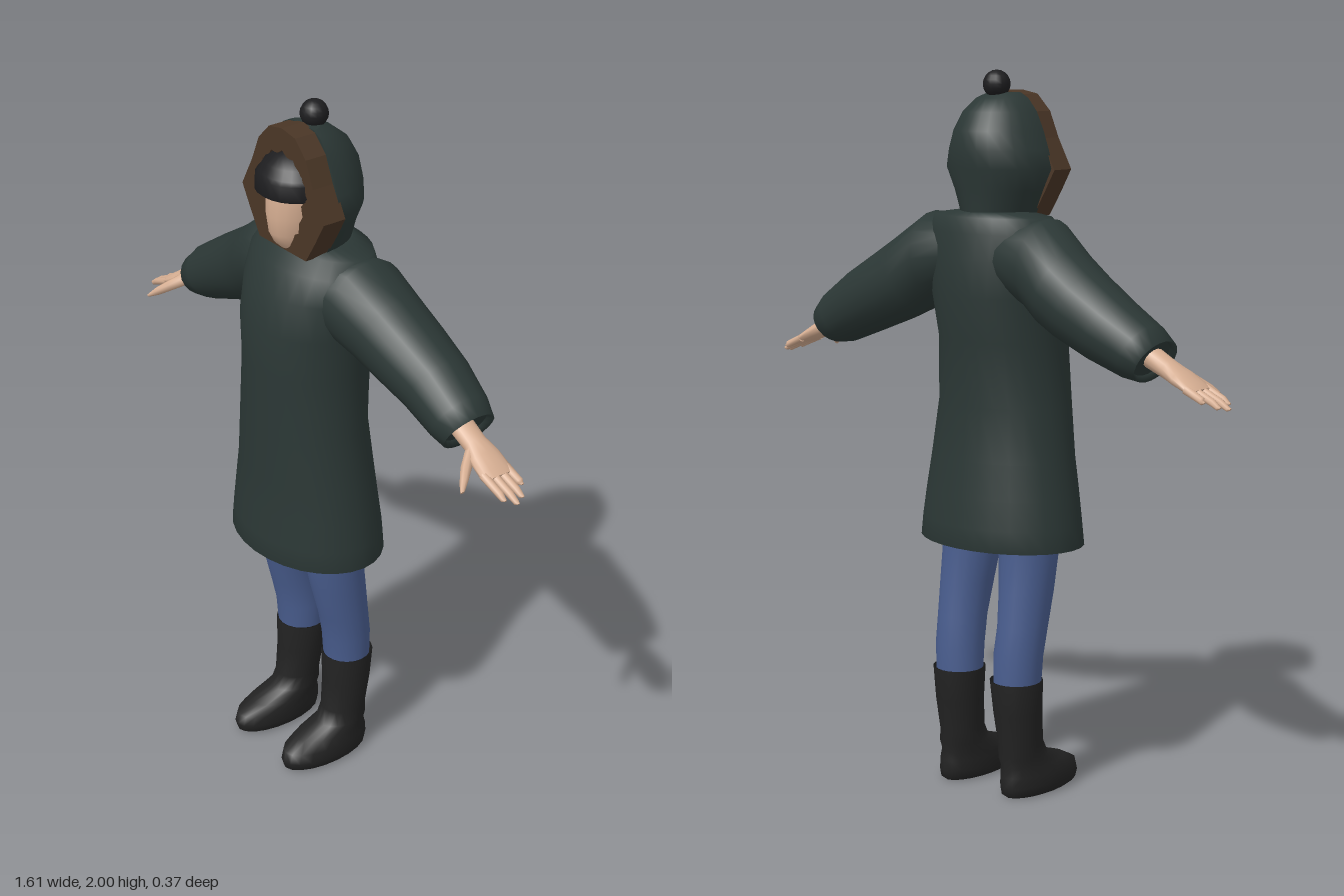
import * as THREE from 'three';

const mat = (name, color, side = THREE.FrontSide) => {
  const m = new THREE.MeshStandardMaterial({ color, side });
  m.name = name;
  return m;
};

// Skin over elliptical rings [x, y, z, radiusU, radiusZ, tilt in degrees].
// Rings run from top to bottom, or outwards along an arm; maxZ flattens the front.
function loft(rings, side = 1, n = 20, maxZ = Infinity) {
  const pos = [], idx = [];
  const tri = (a, b, c) => (side > 0 ? idx.push(a, b, c) : idx.push(a, c, b));
  const addRing = ([x, y, z, ru, rz, tilt = 0]) => {
    const a = THREE.MathUtils.degToRad(tilt);
    for (let j = 0; j < n; j++) {
      const t = (j / n) * Math.PI * 2, u = ru * Math.cos(t);
      pos.push(side * (x + u * Math.cos(a)), y + u * Math.sin(a), Math.min(maxZ, z + rz * Math.sin(t)));
    }
  };
  rings.forEach(addRing);
  for (let i = 0; i < rings.length - 1; i++) {
    for (let j = 0; j < n; j++) {
      const k = (j + 1) % n, a = i * n + j, b = i * n + k;
      tri(a, b, a + n);
      tri(b, b + n, a + n);
    }
  }
  // end caps
  [rings[0], rings[rings.length - 1]].forEach((r, end) => {
    const start = pos.length / 3;
    addRing(r);
    pos.push(side * r[0], r[1], Math.min(maxZ, r[2]));
    for (let j = 0; j < n; j++) {
      const a = start + j, b = start + ((j + 1) % n);
      end ? tri(start + n, a, b) : tri(start + n, b, a);
    }
  });
  const g = new THREE.BufferGeometry();
  g.setAttribute('position', new THREE.Float32BufferAttribute(pos, 3));
  g.setIndex(idx);
  g.computeVertexNormals();
  return g;
}

export function createModel() {
  const model = new THREE.Group();
  model.name = 'figureInParka';
  const coat = mat('coatGreen', 0x2b3735, THREE.DoubleSide);
  const denim = mat('denimBlue', 0x495d8e);
  const rubber = mat('bootBlack', 0x222222);
  const skin = mat('skin', 0xd6ae92);
  const fur = mat('furBrown', 0x4a3626, THREE.DoubleSide);
  const knit = mat('hatBlack', 0x1d1d1f);
  const add = (name, geometry, material, parent = model) => {
    const m = new THREE.Mesh(geometry, material);
    m.name = name;
    parent.add(m);
    return m;
  };

  // Coat body, with the hem turned inwards at the bottom
  add('coatBody', loft([
    [0, 1.625, -0.035, 0.10, 0.085],
    [0, 1.612, -0.035, 0.19, 0.11],
    [0, 1.57, -0.022, 0.215, 0.135],
    [0, 1.5, -0.01, 0.21, 0.16],
    [0, 1.4, -0.002, 0.2, 0.176],
    [0, 1.28, 0.007, 0.186, 0.167],
    [0, 1.1, 0.015, 0.2, 0.16],
    [0, 0.95, 0.007, 0.22, 0.168],
    [0, 0.85, 0.004, 0.238, 0.175],
    [0, 0.77, 0.002, 0.248, 0.184],
    [0, 0.71, 0.002, 0.256, 0.186],
    [0, 0.712, 0.002, 0.245, 0.175],
    [0, 0.76, 0.002, 0.235, 0.168],
  ], 1, 28), coat);

  for (const [side, label] of [[1, 'left'], [-1, 'right']]) {
    // Sleeve
    add(label + 'Sleeve', loft([
      [0.10, 1.5, -0.035, 0.10, 0.115, 90],
      [0.19, 1.49, -0.04, 0.125, 0.125, 82],
      [0.27, 1.435, -0.06, 0.112, 0.115, 66],
      [0.34, 1.395, -0.07, 0.106, 0.11, 61],
      [0.44, 1.345, -0.078, 0.096, 0.1, 60],
      [0.54, 1.295, -0.072, 0.082, 0.09, 60],
      [0.585, 1.272, -0.068, 0.065, 0.08, 60],
      [0.57, 1.28, -0.068, 0.055, 0.068, 60],
    ], side), coat);

    // Hand
    const hand = new THREE.Group();
    hand.name = label + 'Hand';
    model.add(hand);
    add('palm', loft([
      [0.56, 1.285, -0.06, 0.03, 0.035, 62],
      [0.62, 1.256, -0.058, 0.026, 0.034, 62],
      [0.66, 1.237, -0.056, 0.022, 0.047, 62],
      [0.70, 1.217, -0.054, 0.016, 0.05, 62],
      [0.722, 1.207, -0.054, 0.01, 0.046, 62],
    ], side, 14), skin, hand);
    [[-0.092, 0.762], [-0.068, 0.793], [-0.043, 0.805], [-0.018, 0.785]].forEach(([z, tip], i) => {
      const drop = (x) => 1.215 - (x - 0.7) * 0.42;
      const mid = (0.7 + tip) / 2 + 0.02;
      add('finger' + (i + 1), loft([
        [0.7, 1.215, z, 0.012, 0.013, 65],
        [mid, drop(mid), z * 1.03, 0.01, 0.011, 65],
        [tip - 0.008, drop(tip), z * 1.05, 0.007, 0.008, 65],
        [tip, drop(tip), z * 1.05, 0.003, 0.004, 65],
      ], side, 8), skin, hand);
    });
    add('thumb', loft([
      [0.625, 1.25, -0.045, 0.02, 0.025, 60],
      [0.652, 1.227, -0.005, 0.016, 0.022, 60],
      [0.682, 1.203, 0.03, 0.012, 0.015, 60],
      [0.7, 1.188, 0.05, 0.005, 0.007, 60],
    ], side, 8), skin, hand);

    // Trouser leg
    add(label + 'Leg', loft([
      [0.104, 0.85, 0, 0.084, 0.095],
      [0.104, 0.7, -0.004, 0.082, 0.088],
      [0.11, 0.58, -0.022, 0.073, 0.082],
      [0.112, 0.48, -0.04, 0.068, 0.074],
      [0.109, 0.4, -0.054, 0.069, 0.07],
      [0.108, 0.3, -0.058, 0.066, 0.066],
    ], side), denim);

    // Boot: shaft flowing into a foot that points forwards
    add(label + 'Boot', loft([
      [0.107, 0.3, -0.06, 0.066, 0.066],
      [0.107, 0.33, -0.06, 0.068, 0.068],
      [0.107, 0.332, -0.06, 0.074, 0.075],
      [0.109, 0.24, -0.056, 0.068, 0.07],
      [0.11, 0.15, -0.045, 0.06, 0.068],
      [0.111, 0.11, -0.035, 0.06, 0.08],
      [0.112, 0.085, 0.005, 0.064, 0.115],
      [0.114, 0.06, 0.026, 0.069, 0.142],
      [0.115, 0.03, 0.029, 0.07, 0.147],
      [0.115, 0.008, 0.028, 0.065, 0.142],
      [0.115, 0, 0.027, 0.055, 0.13],
    ], side), rubber);
  }

  // Hood shell, flat at its front opening
  add('hood', loft([
    [0, 1.94, 0.02, 0.05, 0.045],
    [0, 1.925, 0.02, 0.078, 0.085],
    [0, 1.89, 0.02, 0.108, 0.13],
    [0, 1.84, 0.02, 0.132, 0.157],
    [0, 1.79, 0.02, 0.15, 0.165],
    [0, 1.74, 0.02, 0.165, 0.16],
    [0, 1.68, 0.02, 0.135, 0.148],
    [0, 1.6, 0.02, 0.1, 0.14],
  ], 1, 28, 0.02), coat);

  // Fur trim: an angular ring with a ragged inner edge
  const half = [[0, 1.945], [0.055, 1.935], [0.1, 1.89], [0.13, 1.82], [0.175, 1.737], [0.14, 1.675], [0.1, 1.61]];
  const mirrored = half.slice(1).reverse().map(([x, y]) => [-x, y]);
  const shape = new THREE.Shape([...half, ...mirrored].map(([x, y]) => new THREE.Vector2(x, y)));
  const inner = [];
  for (let i = 0; i < 28; i++) {
    const t = (i / 28) * Math.PI * 2, r = i % 2 ? 1.05 : 0.95;
    const y = 1.757 + 0.122 * r * Math.sin(t);
    const taper = y < 1.76 ? 0.82 : 1;
    inner.push(new THREE.Vector2(0.103 * r * taper * Math.cos(t), y));
  }
  shape.holes.push(new THREE.Path(inner));
  const trim = new THREE.ExtrudeGeometry(shape, { depth: 0.07, bevelEnabled: false });
  add('furTrim', trim.translate(0, 0, 0.014), fur);
  // Fur lining closing the hood behind the face
  const lining = new THREE.ShapeGeometry(new THREE.Shape(inner));
  add('furLining', lining.translate(0, 0, 0.045), fur);

  // Face
  add('face', loft([
    [0, 1.84, 0.03, 0.07, 0.08],
    [0, 1.77, 0.03, 0.077, 0.092],
    [0, 1.71, 0.032, 0.074, 0.092],
    [0, 1.66, 0.034, 0.063, 0.084],
    [0, 1.63, 0.035, 0.05, 0.068],
    [0, 1.6, 0.025, 0.042, 0.045],
  ]), skin);

  // Knitted hat under the hood, with a thick band
  add('hat', loft([
    [0, 1.878, 0.04, 0.03, 0.03],
    [0, 1.87, 0.04, 0.057, 0.055],
    [0, 1.85, 0.04, 0.085, 0.08],
    [0, 1.825, 0.04, 0.1, 0.094],
    [0, 1.815, 0.04, 0.108, 0.105],
    [0, 1.775, 0.04, 0.11, 0.107],
    [0, 1.768, 0.04, 0.1, 0.098],
  ], 1, 24), knit);

  // Bobble on top
  const bobble = add('bobble', new THREE.SphereGeometry(0.038, 14, 10), knit);
  bobble.position.set(0, 1.962, -0.02);

  return model;
}
